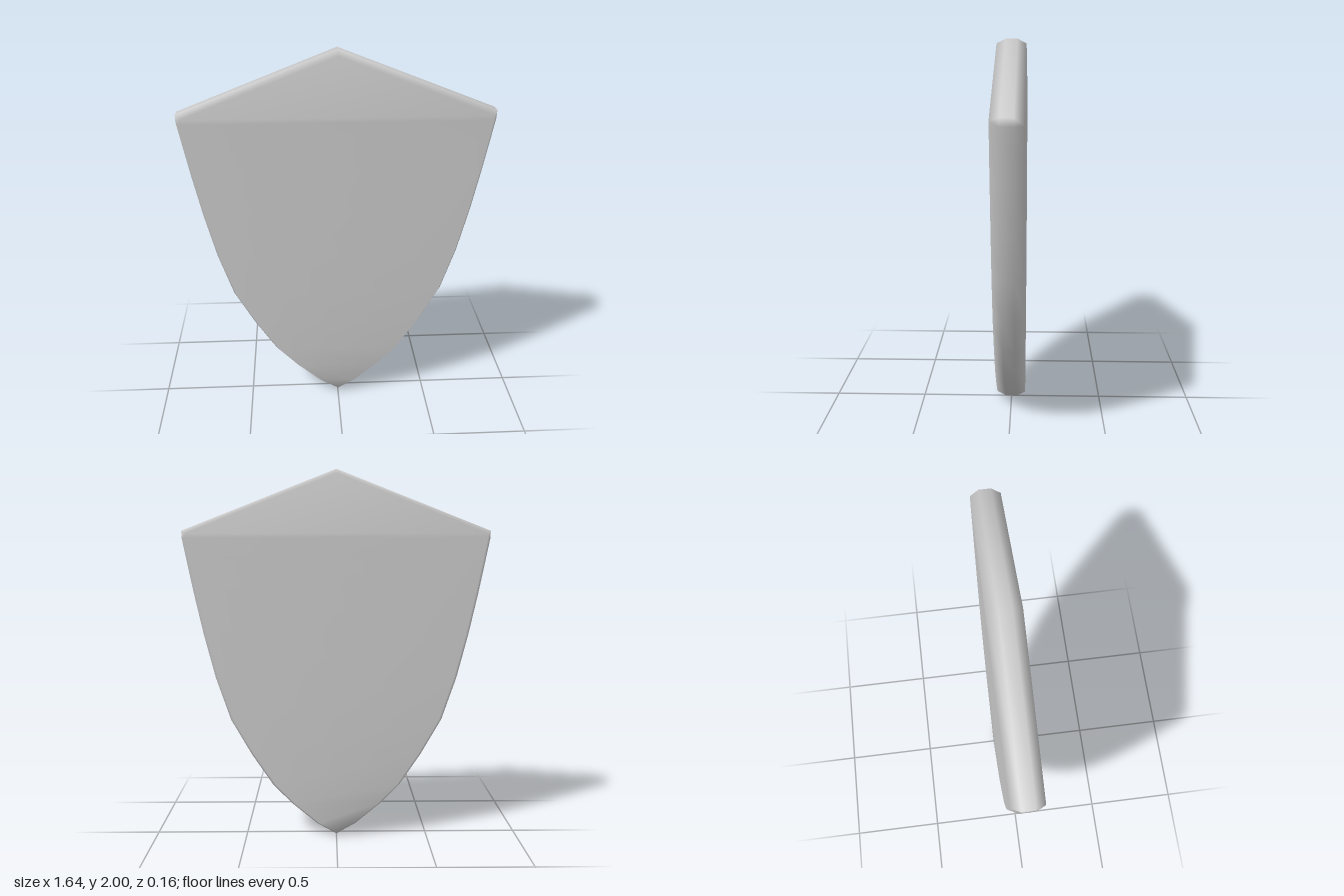
import * as THREE from 'three';

// Right half of the outline, from the bottom tip up to the peak
const HALF = [
  [0, 0], [0.106, 0.06], [0.243, 0.175], [0.35, 0.285], [0.466, 0.46], [0.577, 0.656],
  [0.655, 0.89], [0.715, 1.13], [0.762, 1.35], [0.797, 1.53], [0.818, 1.64], [0.82, 1.68], [0, 2],
];
// Edge section from front to back: [z, inset]
const SECTION = [[0.078, 0.022], [0.032, 0], [-0.032, 0], [-0.078, 0.022]];

// Moves each outline point inward along its mitred corner normal
function insetOutline(points, d) {
  const n = points.length;
  return points.map((p, i) => {
    const a = p.clone().sub(points[(i + n - 1) % n]).normalize();
    const b = points[(i + 1) % n].clone().sub(p).normalize();
    const normal = new THREE.Vector2(-a.y - b.y, a.x + b.x).normalize();
    const miter = normal.dot(new THREE.Vector2(-a.y, a.x));
    return p.clone().addScaledVector(normal, d / miter);
  });
}

function shieldGeometry() {
  const right = HALF.map(([x, y]) => new THREE.Vector2(x, y));
  const left = right.slice(1, -1).reverse().map((p) => new THREE.Vector2(-p.x, p.y));
  const outline = [...right, ...left];
  const n = outline.length;
  const positions = [];
  const index = [];

  // Rings of the bevelled rim
  for (const [z, d] of SECTION) {
    for (const p of insetOutline(outline, d)) positions.push(p.x, p.y, z);
  }
  for (let r = 0; r < SECTION.length - 1; r++) {
    for (let i = 0; i < n; i++) {
      const j = (i + 1) % n;
      const a = r * n + i, b = r * n + j, c = a + n, e = b + n;
      index.push(a, c, b, b, c, e);
    }
  }

  // Front and back faces as strips between mirrored points
  const back = (SECTION.length - 1) * n;
  const addTriangle = (a, b, c) => {
    if (a === b || b === c || a === c) return;
    index.push(a, b, c, back + a, back + c, back + b);
  };
  const mirror = (i) => (n - i) % n;
  for (let i = 0; i < HALF.length - 1; i++) {
    addTriangle(i, i + 1, mirror(i + 1));
    addTriangle(i, mirror(i + 1), mirror(i));
  }

  const geometry = new THREE.BufferGeometry();
  geometry.setAttribute('position', new THREE.Float32BufferAttribute(positions, 3));
  geometry.setIndex(index);
  geometry.computeVertexNormals();
  return geometry;
}

export function createModel() {
  const group = new THREE.Group();
  group.name = 'shield';
  const body = new THREE.Mesh(shieldGeometry(), new THREE.MeshStandardMaterial({ color: 0xcccccc }));
  body.name = 'shieldBody';
  group.add(body);
  return group;
}
